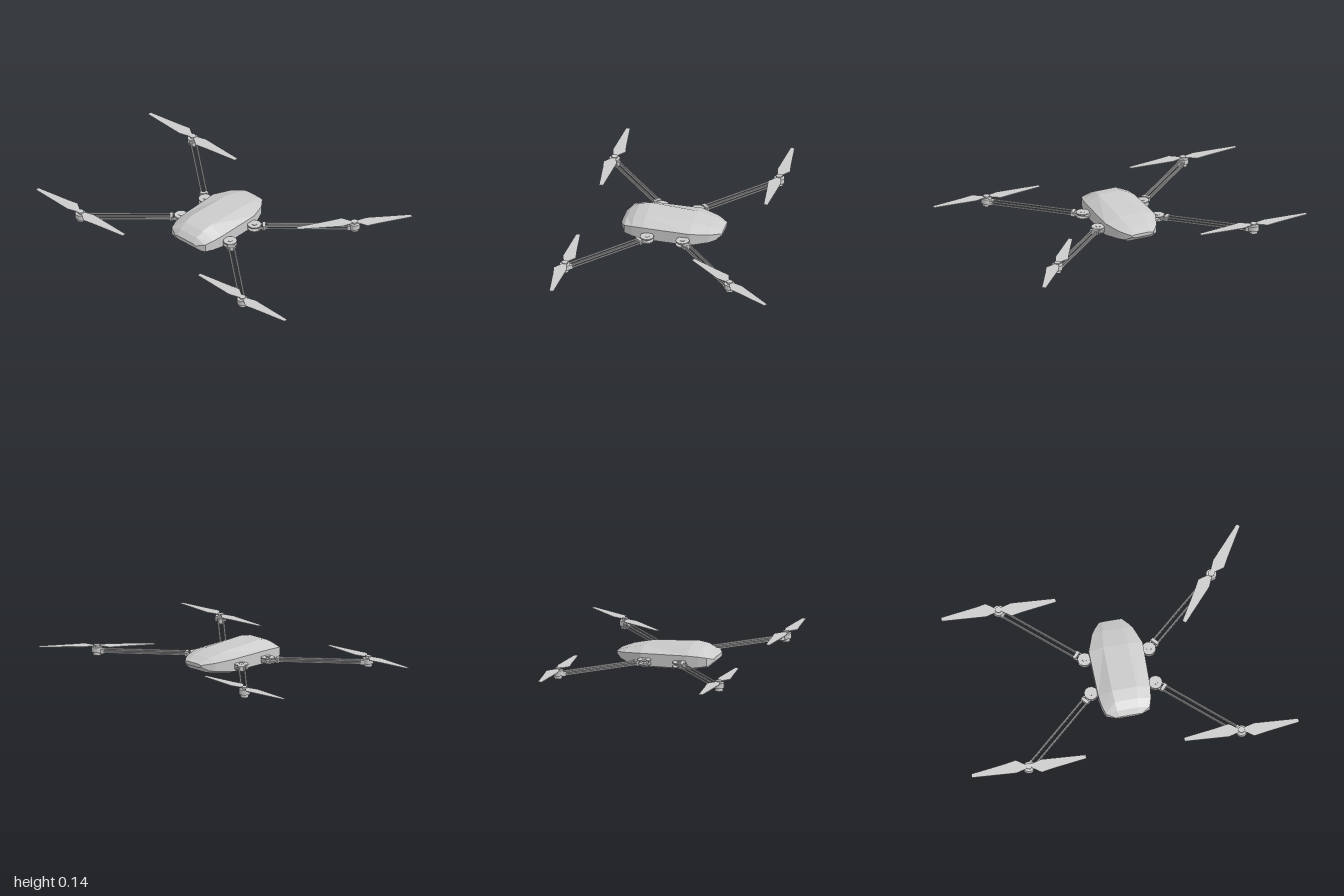
import * as THREE from 'three';

const mat = new THREE.MeshStandardMaterial({ color: 0xcccccc, flatShading: true, side: THREE.DoubleSide });

function add(parent, name, geometry, x = 0, y = 0, z = 0) {
  const mesh = new THREE.Mesh(geometry, mat);
  mesh.name = name;
  mesh.position.set(x, y, z);
  parent.add(mesh);
  return mesh;
}

const disc = (r, h, n = 16, rBottom = r) => new THREE.CylinderGeometry(r, rBottom, h, n);

// Faceted hull lofted through eight-sided cross-sections along x
function hullGeometry() {
  // x, top half width, top y, side half width, shoulder y, lower side y, bottom half width, bottom y
  const sections = [
    [-0.41, 0.06, 0.076, 0.08, 0.068, 0.06, 0.06, 0.052],
    [-0.38, 0.065, 0.105, 0.135, 0.085, 0.035, 0.105, 0.022],
    [-0.33, 0.07, 0.13, 0.15, 0.092, 0.027, 0.115, 0.013],
    [-0.26, 0.075, 0.14, 0.16, 0.096, 0.018, 0.13, 0.004],
    [0.03, 0.075, 0.12, 0.165, 0.092, 0.016, 0.13, 0],
    [0.14, 0.062, 0.098, 0.125, 0.08, 0.028, 0.095, 0.013],
    [0.175, 0.054, 0.086, 0.1, 0.075, 0.035, 0.075, 0.02],
    [0.21, 0.045, 0.073, 0.07, 0.068, 0.058, 0.05, 0.052],
  ];
  const points = [], index = [];
  for (const [x, zt, yt, zs, ys, yl, zb, yb] of sections) {
    const half = [[zt, yt], [zs, ys], [zs, yl], [zb, yb]];
    for (const [z, y] of half) points.push(x, y, z);
    for (const [z, y] of half.reverse()) points.push(x, y, -z);
  }
  const last = sections.length - 1;
  for (let i = 0; i < last; i++) {
    for (let j = 0; j < 8; j++) {
      const a = i * 8 + j, b = i * 8 + (j + 1) % 8;
      index.push(a, b, b + 8, a, b + 8, a + 8);
    }
  }
  for (let k = 1; k < 7; k++) {
    index.push(0, k + 1, k);
    index.push(last * 8, last * 8 + k, last * 8 + k + 1);
  }
  const g = new THREE.BufferGeometry();
  g.setAttribute('position', new THREE.Float32BufferAttribute(points, 3));
  g.setIndex(index);
  g.computeVertexNormals();
  return g;
}

// Two-bladed propeller, point-symmetric about its hub
function propellerGeometry() {
  const blade = [[0.012, 0.015], [0.052, 0.07], [0.04, 0.14], [0.013, 0.35], [-0.011, 0.35], [-0.03, 0.08], [-0.014, 0.02]];
  const outline = [...blade, ...blade.map(([x, y]) => [-x, -y])];
  const shape = new THREE.Shape(outline.map(([x, y]) => new THREE.Vector2(x, y)));
  const g = new THREE.ExtrudeGeometry(shape, { depth: 0.004, bevelEnabled: false });
  return g.rotateX(-Math.PI / 2);
}

// Motor with its propeller
function buildRotor(spin) {
  const rotor = new THREE.Group();
  rotor.name = 'rotor';
  add(rotor, 'motorBase', disc(0.024, 0.022), 0, 0.036, 0);
  add(rotor, 'motorBell', disc(0.033, 0.032), 0, 0.06, 0);
  add(rotor, 'motorShaft', disc(0.015, 0.014), 0, 0.079, 0);
  add(rotor, 'propeller', propellerGeometry(), 0, 0.081, 0).rotation.y = spin;
  add(rotor, 'propellerCap', disc(0.02, 0.006, 12), 0, 0.087, 0);
  return rotor;
}

// Folding arm: hinge at its origin, rods running along local +x
function buildArm(length) {
  const arm = new THREE.Group();
  arm.name = 'arm';
  for (const y of [0.037, 0.062]) add(arm, 'hingePlate', disc(0.042, 0.007, 12), 0, y, 0);
  add(arm, 'hingePin', disc(0.015, 0.036, 12), 0, 0.05, 0);
  add(arm, 'rodClamp', new THREE.BoxGeometry(0.02, 0.03, 0.05), 0.058, 0.051, 0);
  for (const side of [-1, 1]) {
    const fork = add(arm, 'hingeFork', new THREE.BoxGeometry(0.05, 0.014, 0.01), 0.034, 0.05, side * 0.018);
    fork.rotation.y = side * -0.35;
    for (const y of [0.043, 0.059]) {
      const rod = disc(0.0055, length - 0.06, 8).rotateZ(Math.PI / 2);
      add(arm, 'armRod', rod, length / 2 + 0.02, y, side * 0.016);
    }
  }
  add(arm, 'motorClamp', new THREE.BoxGeometry(0.025, 0.028, 0.044), length - 0.03, 0.051, 0);
  return arm;
}

export function createModel() {
  const drone = new THREE.Group();
  drone.name = 'quadcopter';
  add(drone, 'hull', hullGeometry());

  for (const side of [-1, 1]) {
    for (const [hingeX, motorX] of [[-0.225, -0.625], [-0.005, 0.392]]) {
      const hingeZ = side * 0.197, motorZ = side * 0.65;
      const dx = motorX - hingeX, dz = motorZ - hingeZ;

      // Bracket joining the hinge to the hull
      add(drone, 'hingeBracket', new THREE.BoxGeometry(0.05, 0.018, 0.05), hingeX, 0.05, side * 0.17);

      const arm = buildArm(Math.hypot(dx, dz));
      arm.position.set(hingeX, 0, hingeZ);
      arm.rotation.y = Math.atan2(-dz, dx);
      drone.add(arm);

      // One propeller rests at a different angle
      const rotor = buildRotor(side > 0 && motorX > 0 ? 0.91 : 0);
      rotor.position.set(motorX, 0, motorZ);
      drone.add(rotor);
    }
  }
  return drone;
}
